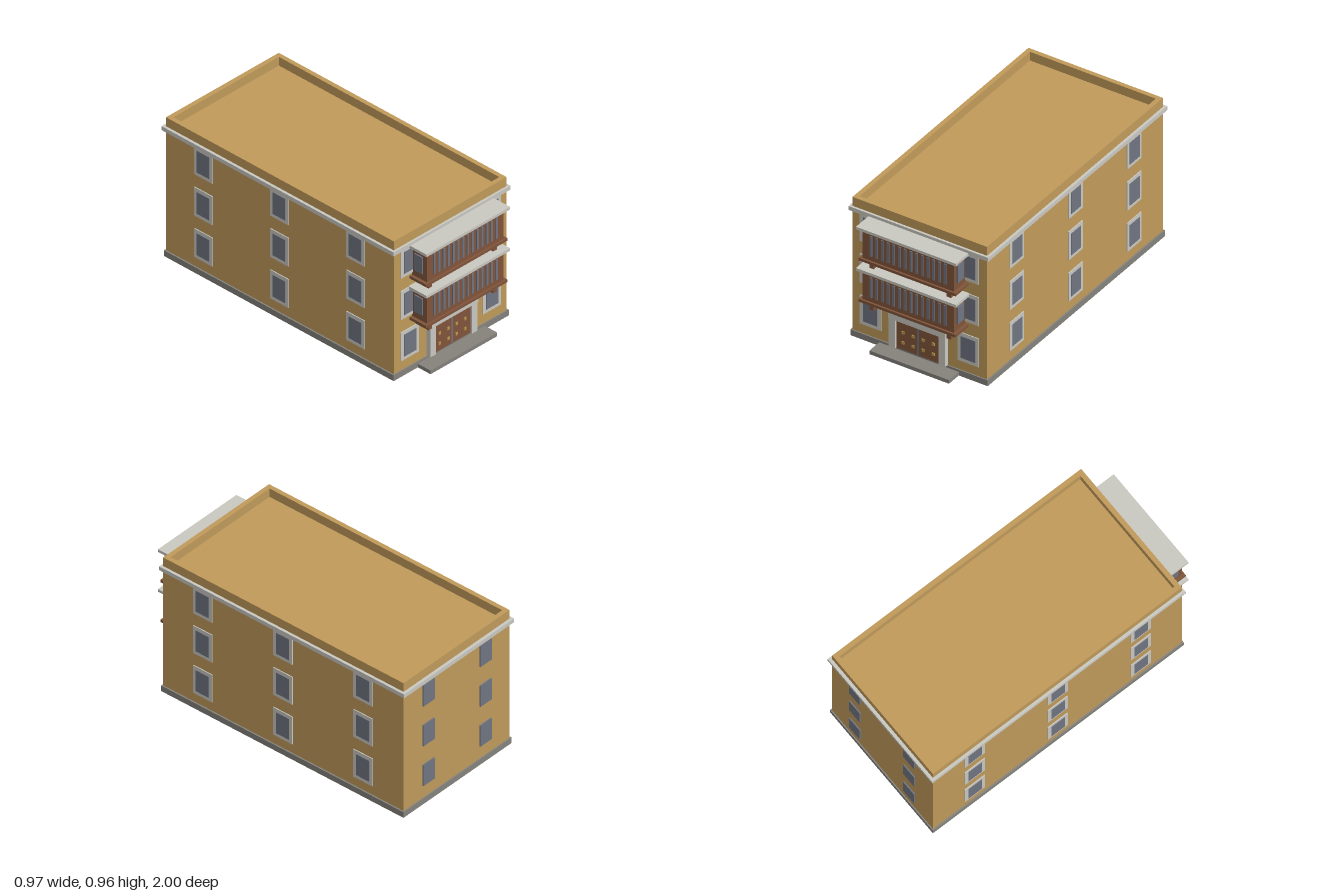
import * as THREE from 'three';

const mat = (name, color) => new THREE.MeshStandardMaterial({ name, color });

export function createModel() {
  const ochre = mat('ochre wall', 0xc09a5a), stone = mat('pale stone', 0xc9c7c0);
  const slate = mat('slate glass', 0x6f7480), wood = mat('brown wood', 0x80543a);
  const grey = mat('grey plinth', 0x85827c), brass = mat('brass', 0xb8954a);
  const model = new THREE.Group();
  model.name = 'building';

  // Box given by its extents on each axis
  const box = (name, m, [x0, x1], [y0, y1], [z0, z1], parent = model) => {
    const mesh = new THREE.Mesh(new THREE.BoxGeometry(x1 - x0, y1 - y0, z1 - z0), m);
    mesh.position.set((x0 + x1) / 2, (y0 + y1) / 2, (z0 + z1) / 2);
    mesh.name = name;
    parent.add(mesh);
    return mesh;
  };
  const W = 0.465, BACK = -0.98, FRONT = 0.855, FLOOR = 0.287;

  // Main block
  box('plinth', grey, [-0.475, 0.475], [0, 0.04], [-0.988, 0.863]);
  box('frontStep', grey, [-0.275, 0.275], [0, 0.025], [0.85, 0.965]);
  box('walls', ochre, [-W, W], [0.04, 0.902], [BACK, FRONT]);
  box('cornice', stone, [-0.483, 0.483], [0.873, 0.9], [-1, 0.87]);

  // Parapet around the flat roof
  const T = 0.03;
  for (const s of [-1, 1]) {
    const x = s * (W - T / 2);
    box('parapetSide', ochre, [x - T / 2, x + T / 2], [0.9, 0.962], [BACK, FRONT]);
  }
  box('parapetFront', ochre, [-W + T, W - T], [0.9, 0.962], [FRONT - T, FRONT]);
  box('parapetBack', ochre, [-W + T, W - T], [0.9, 0.962], [BACK, BACK + T]);

  // Window facing +z about its own centre, turned to its wall
  const addWindow = (x, y, z, turn, framed) => {
    const g = new THREE.Group();
    g.name = 'window';
    if (framed) box('windowFrame', stone, [-0.073, 0.073], [-0.099, 0.099], [-0.005, 0.006], g);
    box('windowGlass', slate, [-0.05, 0.05], [-0.075, 0.075], [-0.004, 0.009], g);
    g.position.set(x, y, z);
    g.rotation.y = turn;
    model.add(g);
  };
  for (let i = 0; i < 3; i++) {
    const y = 0.204 + i * FLOOR;
    for (const s of [-1, 1]) {
      addWindow(s * 0.338, y, FRONT, 0, true);
      addWindow(s * 0.25, y, BACK, Math.PI, false);
      for (const z of [0.55, -0.062, -0.674]) addWindow(s * W, y, z, s * Math.PI / 2, true);
    }
  }

  // Enclosed timber balconies
  for (let i = 0; i < 2; i++) {
    const b = new THREE.Group();
    b.name = 'balcony';
    b.position.y = i * FLOOR;
    model.add(b);
    box('balconyBody', wood, [-0.315, 0.315], [0.374, 0.576], [0.85, 0.975], b);
    box('balconyFloor', wood, [-0.336, 0.336], [0.357, 0.375], [0.85, 0.988], b);
    box('balconyRoof', stone, [-0.345, 0.345], [0.575, 0.594], [0.85, 1], b);
    for (let k = 0; k < 14; k++) {
      const x = (k - 6.5) * 0.0395;
      box('balconySlit', slate, [x - 0.008, x + 0.008], [0.407, 0.547], [0.972, 0.981], b);
    }
    for (const s of [-1, 1]) {
      const x = s * 0.319, c = s * 0.267;
      box('balconySidePane', slate, [x - 0.005, x + 0.005], [0.42, 0.535], [0.88, 0.945], b);
      box('balconyBracket', wood, [c - 0.015, c + 0.015], [0.303, 0.352], [0.85, 0.955], b);
    }
  }

  // Entrance: stone surround, double door and studs
  box('doorLintel', stone, [-0.197, 0.197], [0.239, 0.283], [0.85, 0.89]);
  box('doorGap', slate, [-0.006, 0.006], [0.04, 0.239], [0.85, 0.873]);
  for (const s of [-1, 1]) {
    const post = s * 0.1725, leaf = s * 0.078;
    box('doorPost', stone, [post - 0.0225, post + 0.0225], [0.04, 0.239], [0.85, 0.885]);
    box('doorLeaf', wood, [leaf - 0.072, leaf + 0.072], [0.04, 0.239], [0.85, 0.87]);
    for (const x of [0.034, 0.105]) for (const y of [0.09, 0.16])
      box('doorStud', brass, [s * x - 0.009, s * x + 0.009], [y - 0.009, y + 0.009], [0.866, 0.876]);
  }
  return model;
}
